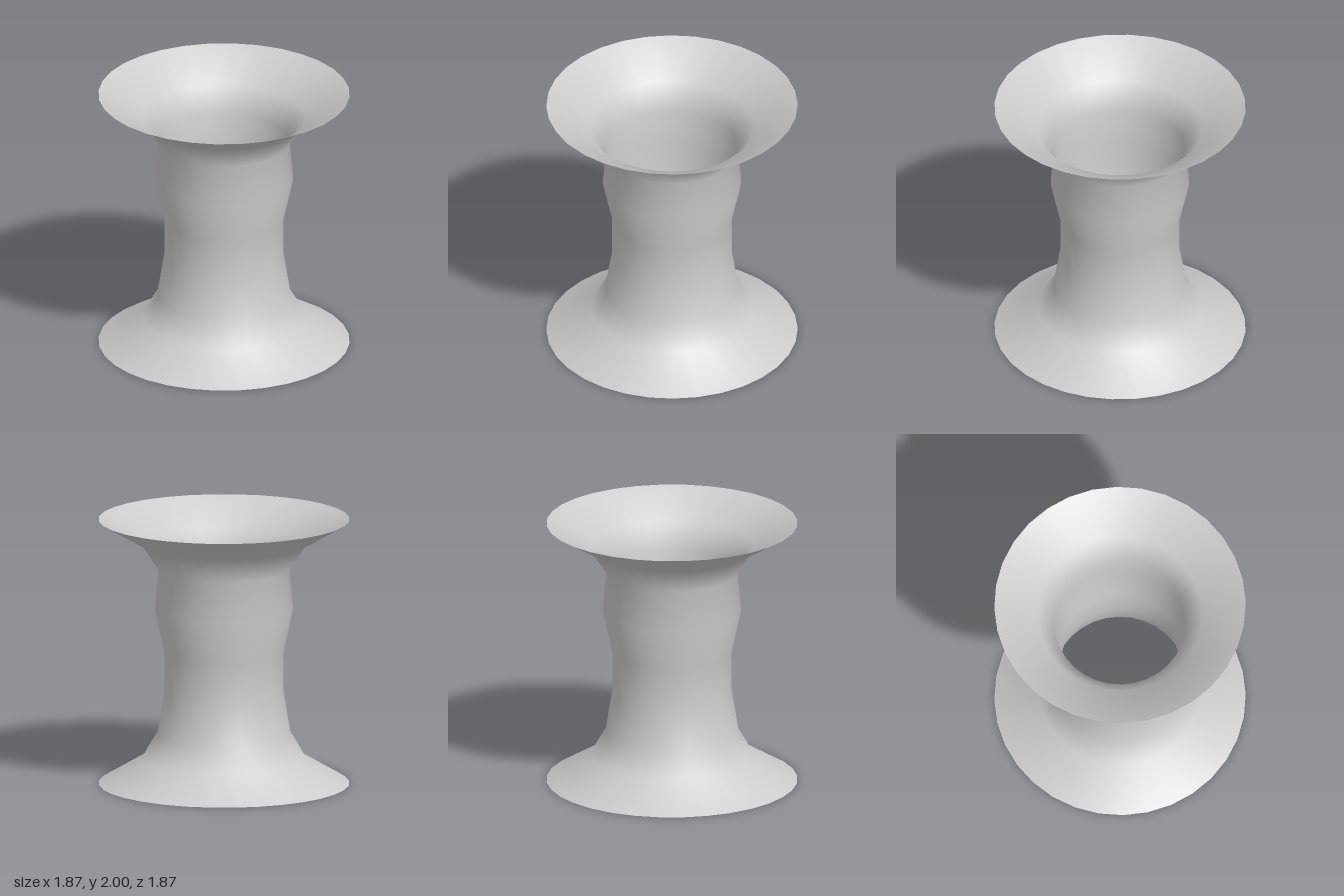
import * as THREE from 'three';

export function createModel() {
  const group = new THREE.Group();
  group.name = 'flaredTube';

  // Open thin shell: [radius, height] from the lower rim to the upper rim
  const profile = [
    [0.935, 0], [0.605, 0.195], [0.495, 0.385], [0.445, 0.69], [0.445, 1.0],
    [0.515, 1.32], [0.49, 1.62], [0.61, 1.81], [0.935, 2],
  ].map(([r, y]) => new THREE.Vector2(r, y));

  const shell = new THREE.Mesh(
    new THREE.LatheGeometry(profile, 32),
    new THREE.MeshStandardMaterial({ color: 0xcccccc, side: THREE.DoubleSide })
  );
  shell.name = 'flaredShell';
  group.add(shell);
  return group;
}
